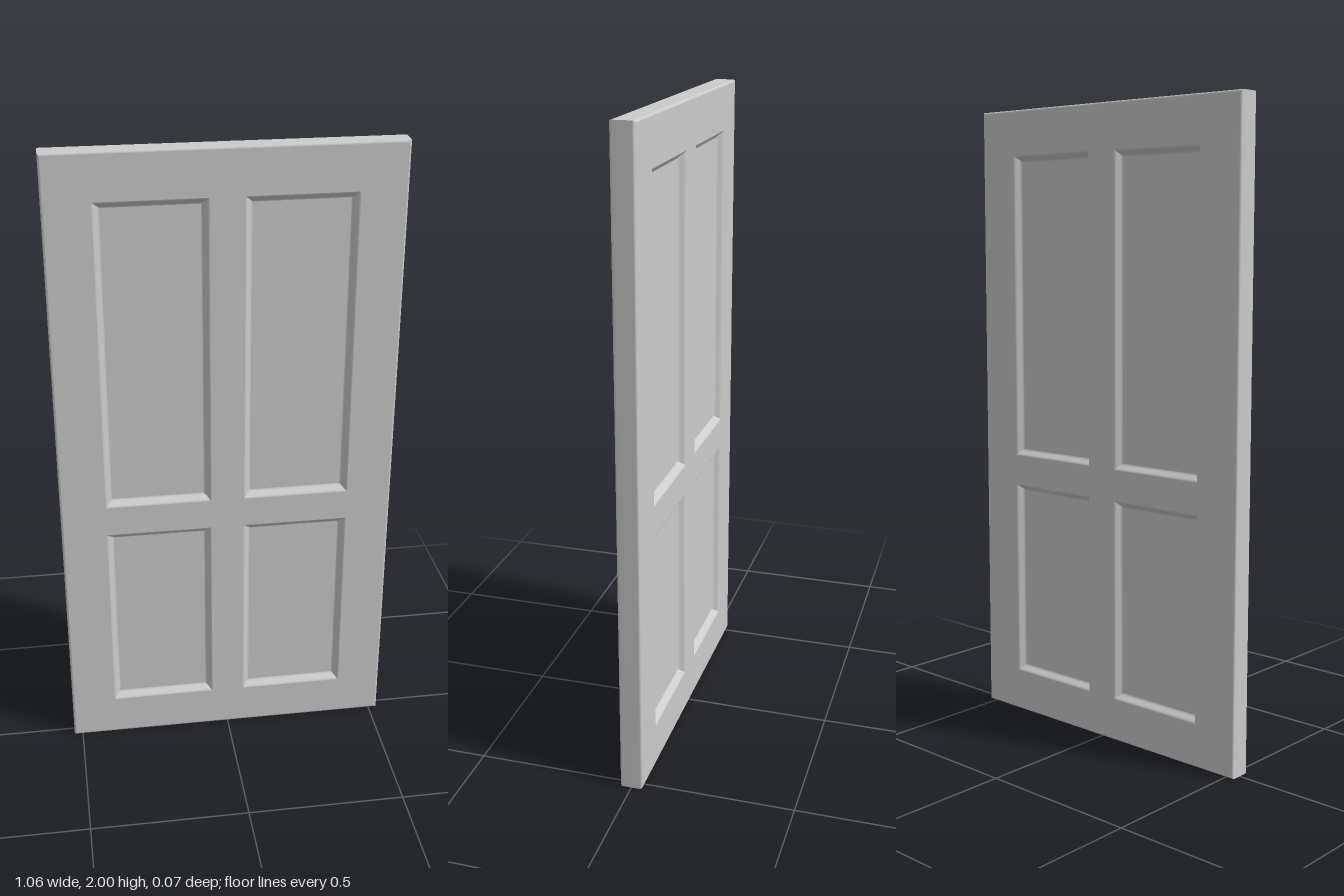
import * as THREE from 'three';

const material = new THREE.MeshStandardMaterial({ color: 0xcccccc });
const W = 0.528, H = 2, T = 0.035; // half width, height, half thickness
const ROUND = 0.007; // rounded outer edge
const MOULD = 0.022, DEPTH = 0.02; // moulding width and panel recess

// Openings on the +x half as [x0, y0, x1, y1], mirrored to -x
const half = [[0.052, 0.135, 0.386, 0.78], [0.052, 0.877, 0.386, 1.857]];
const openings = half.flatMap(([x0, y0, x1, y1]) => [[x0, y0, x1, y1], [-x1, y0, -x0, y1]]);

function addMesh(parent, name, geometry) {
  const mesh = new THREE.Mesh(geometry, material);
  mesh.name = name;
  parent.add(mesh);
  return mesh;
}

// Sweep a profile of [inset, z] points round a rectangle, with mitred corners
function rectSweep([x0, y0, x1, y1], profile) {
  const pos = [], index = [], n = profile.length;
  const corners = (i) => [[x0 + i, y0 + i], [x1 - i, y0 + i], [x1 - i, y1 - i], [x0 + i, y1 - i]];
  for (let side = 0; side < 4; side++) {
    const base = pos.length / 3;
    for (const [inset, z] of profile) {
      const c = corners(inset);
      pos.push(...c[side], z, ...c[(side + 1) % 4], z);
    }
    for (let j = 0; j < n - 1; j++) {
      const a = base + j * 2;
      index.push(a, a + 1, a + 3, a, a + 3, a + 2);
    }
  }
  const g = new THREE.BufferGeometry();
  g.setAttribute('position', new THREE.Float32BufferAttribute(pos, 3));
  g.setIndex(index);
  g.computeVertexNormals();
  return g;
}

function rectPath(path, [x0, y0, x1, y1]) {
  path.moveTo(x0, y0).lineTo(x1, y0).lineTo(x1, y1).lineTo(x0, y1).closePath();
  return path;
}

// One face of the door: flat frame, mouldings and recessed panels
function createFace(name) {
  const face = new THREE.Group();
  face.name = name;

  const shape = rectPath(new THREE.Shape(), [-W + ROUND, ROUND, W - ROUND, H - ROUND]);
  for (const o of openings) shape.holes.push(rectPath(new THREE.Path(), o));
  addMesh(face, 'stilesAndRails', new THREE.ShapeGeometry(shape)).position.z = T;

  // Smooth S-shaped slope from the frame down to the panel
  const slope = [];
  for (let i = 0; i <= 8; i++) {
    const t = i / 8;
    slope.push([t * MOULD, T - DEPTH * (1 - Math.cos(Math.PI * t)) / 2]);
  }
  for (const o of openings) {
    const [x0, y0, x1, y1] = o;
    addMesh(face, 'panelMoulding', rectSweep(o, slope));
    const panel = addMesh(face, 'panel',
      new THREE.PlaneGeometry(x1 - x0 - 2 * MOULD, y1 - y0 - 2 * MOULD));
    panel.position.set((x0 + x1) / 2, (y0 + y1) / 2, T - DEPTH);
  }
  return face;
}

export function createModel() {
  const door = new THREE.Group();
  door.name = 'panelDoor';

  const front = createFace('frontFace');
  const back = createFace('backFace');
  back.rotation.y = Math.PI;
  door.add(front, back);

  // Outer edge, rounded over at both faces, running from back to front
  const edge = [];
  for (const s of [-1, 1]) {
    for (let i = 0; i <= 4; i++) {
      const a = (s < 0 ? 4 - i : i) / 4 * Math.PI / 2;
      edge.push([ROUND * (1 - Math.cos(a)), s * (T - ROUND + ROUND * Math.sin(a))]);
    }
  }
  addMesh(door, 'outerEdge', rectSweep([-W, 0, W, H], edge));
  return door;
}
